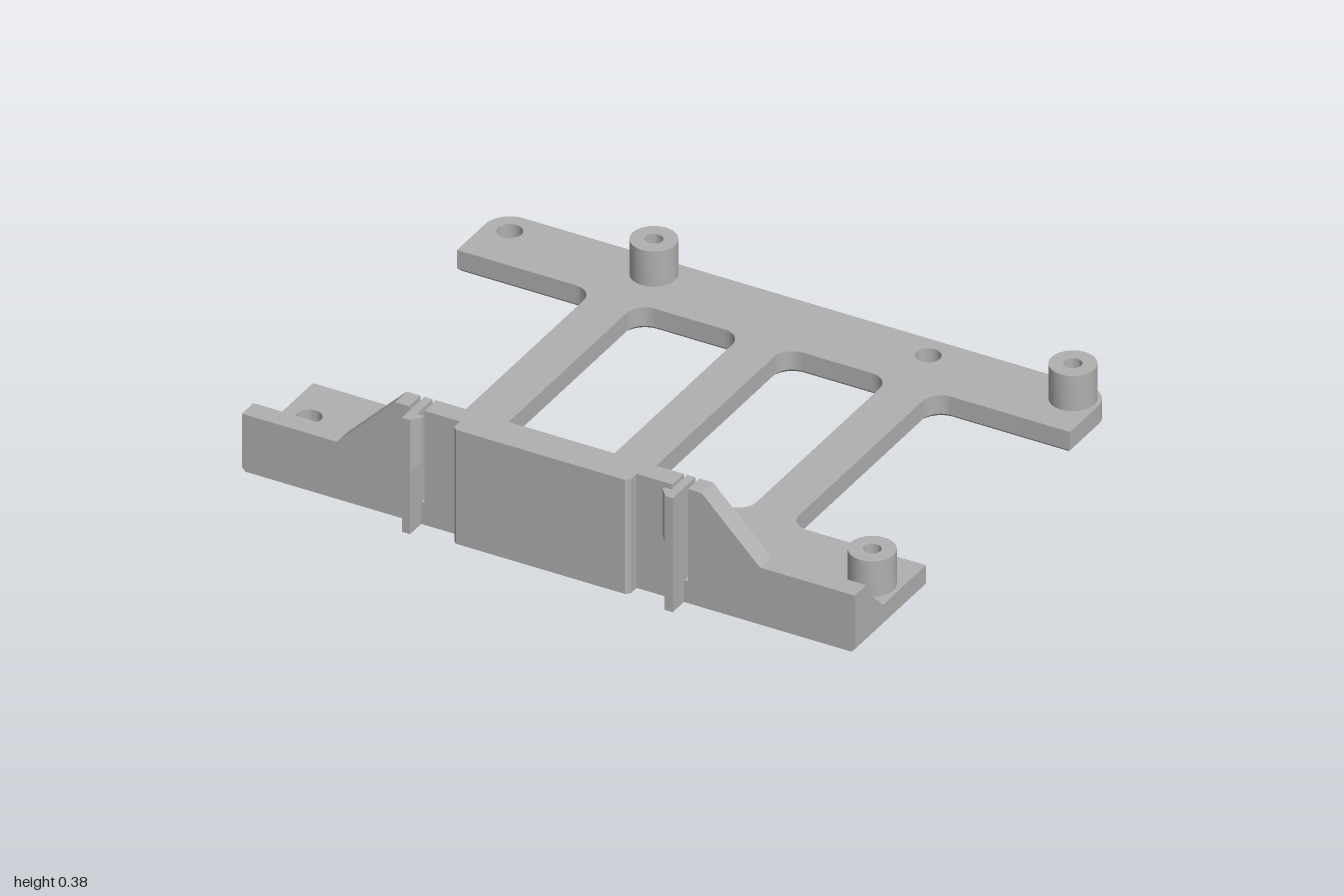
import * as THREE from 'three';
import { toCreasedNormals } from 'three/addons/utils/BufferGeometryUtils.js';

const PLATE_TOP = 0.073;
const CHAMFER = 0.012;
const WALL_BACK = 0.643;
const WALL_FRONT = 0.709;
const SLOT = [0.405, 0.455];

// Closed outline from [x, y, cornerRadius] points; corners with a radius are right angles
function outline(points, Type = THREE.Shape) {
  const path = new Type();
  points.forEach(([x, y, r = 0], i) => {
    const c = new THREE.Vector2(x, y);
    const toward = (q) => new THREE.Vector2(q[0], q[1]).sub(c).normalize();
    const a = toward(points.at(i - 1));
    const b = toward(points[(i + 1) % points.length]);
    const at = (d, k) => c.clone().addScaledVector(d, r * k);
    const start = at(a, 1), end = at(b, 1);
    if (i === 0) path.moveTo(start.x, start.y);
    else path.lineTo(start.x, start.y);
    if (r > 0) {
      const h1 = at(a, 0.4477), h2 = at(b, 0.4477);
      path.bezierCurveTo(h1.x, h1.y, h2.x, h2.y, end.x, end.y);
    }
  });
  path.closePath();
  return path;
}

function circle(x, y, r, Type = THREE.Path) {
  const path = new Type();
  path.absarc(x, y, r, 0, Math.PI * 2, false);
  return path;
}

const extrude = (shape, depth, options = {}) =>
  new THREE.ExtrudeGeometry(shape, { depth, bevelEnabled: false, curveSegments: 12, ...options });

// Shapes drawn in (x, -z), raised along y
const raise = (shape, y0, y1, options) =>
  extrude(shape, y1 - y0, options).rotateX(-Math.PI / 2).translate(0, y0, 0);

export function createModel() {
  const group = new THREE.Group();
  const grey = new THREE.MeshStandardMaterial({ color: 0xb0b0b0 });
  grey.name = 'grey plastic';

  const add = (name, geometry) => {
    const mesh = new THREE.Mesh(toCreasedNormals(geometry, 0.6), grey);
    mesh.name = name;
    group.add(mesh);
    return mesh;
  };

  // Base plate: two cross strips joined by three bars
  const plate = outline([
    [-1, -WALL_FRONT], [1, -WALL_FRONT], [1, -0.3],
    [0.553, -0.3, 0.06], [0.553, 0.529, 0.06], [1, 0.529],
    [1, 0.772, 0.08], [-1, 0.772, 0.08], [-1, 0.529],
    [-0.553, 0.529, 0.06], [-0.553, -0.3, 0.06], [-1, -0.3],
  ]);
  for (const s of [-1, 1]) {
    plate.holes.push(outline([
      [s * 0.068, -0.3, 0.06], [s * 0.413, -0.3, 0.06],
      [s * 0.413, 0.529, 0.06], [s * 0.068, 0.529, 0.06],
    ], THREE.Path));
  }
  const rows = [-0.692, 0.463];
  const postColumns = [-0.45, 0.917];
  const holeColumns = [-0.92, 0.445];
  for (const z of rows) {
    for (const x of postColumns) plate.holes.push(circle(x, -z, 0.027));
    for (const x of holeColumns) plate.holes.push(circle(x, -z, 0.038));
  }
  add('basePlate', raise(plate, CHAMFER, PLATE_TOP));

  // Chamfered underside
  add('plateUnderside', raise(plate, 0, 0.002, {
    bevelEnabled: true, bevelSegments: 1, bevelSize: CHAMFER,
    bevelThickness: CHAMFER, bevelOffset: -CHAMFER,
  }).translate(0, CHAMFER, 0));

  // Hollow mounting posts
  for (const z of rows) {
    for (const x of postColumns) {
      const ring = circle(x, -z, 0.07, THREE.Shape);
      ring.holes.push(circle(x, -z, 0.027));
      add('mountingPost', raise(ring, PLATE_TOP - 0.002, 0.19));
    }
  }

  // Front wall with sloped shoulders and two latch slots
  const half = [
    [SLOT[0], 0.38], [SLOT[0], PLATE_TOP], [SLOT[1], PLATE_TOP], [SLOT[1], 0.38],
    [0.5, 0.38], [0.69, 0.19], [1, 0.19], [1, CHAMFER], [1 - CHAMFER, 0],
  ];
  const mirrored = half.map(([x, y]) => [-x, y]).reverse();
  add('frontWall', extrude(outline([...half, ...mirrored]), WALL_FRONT - WALL_BACK)
    .translate(0, 0, WALL_BACK));

  // Sloped brace behind the wall, broken by the slots
  const brace = outline([
    [-0.547, PLATE_TOP], [-WALL_BACK - 0.002, PLATE_TOP], [-WALL_BACK - 0.002, 0.168],
  ]);
  for (const [x0, x1] of [[-1, -SLOT[1]], [-SLOT[0], SLOT[0]], [SLOT[1], 1]]) {
    add('wallBrace', extrude(brace, x1 - x0).rotateY(Math.PI / 2).translate(x0, 0, 0));
  }

  // Raised centre panel with eased front corners
  add('centrePanel', raise(outline([
    [-0.288, -0.7], [-0.288, -0.742], [-0.276, -0.754],
    [0.276, -0.754], [0.288, -0.742], [0.288, -0.7],
  ]), 0, 0.38));

  // Latch arms with hooks facing the centre
  for (const s of [-1, 1]) {
    add('latchArm', raise(outline([
      [s * 0.442, -WALL_BACK], [s * 0.442, -0.773], [s * 0.415, -0.773], [s * 0.415, -WALL_BACK],
    ]), 0, 0.38));
    const hook = raise(outline([
      [s * 0.418, -0.733], [s * 0.393, -0.733], [s * 0.393, -0.745], [s * 0.418, -0.773],
    ]), 0.21, 0.38);
    // Taper the lower end of the hook
    const p = hook.attributes.position;
    for (let i = 0; i < p.count; i++) {
      if (p.getY(i) < 0.3 && Math.abs(p.getX(i)) < 0.4) p.setY(i, 0.23);
    }
    hook.computeVertexNormals();
    add('latchHook', hook);
  }

  return group;
}
